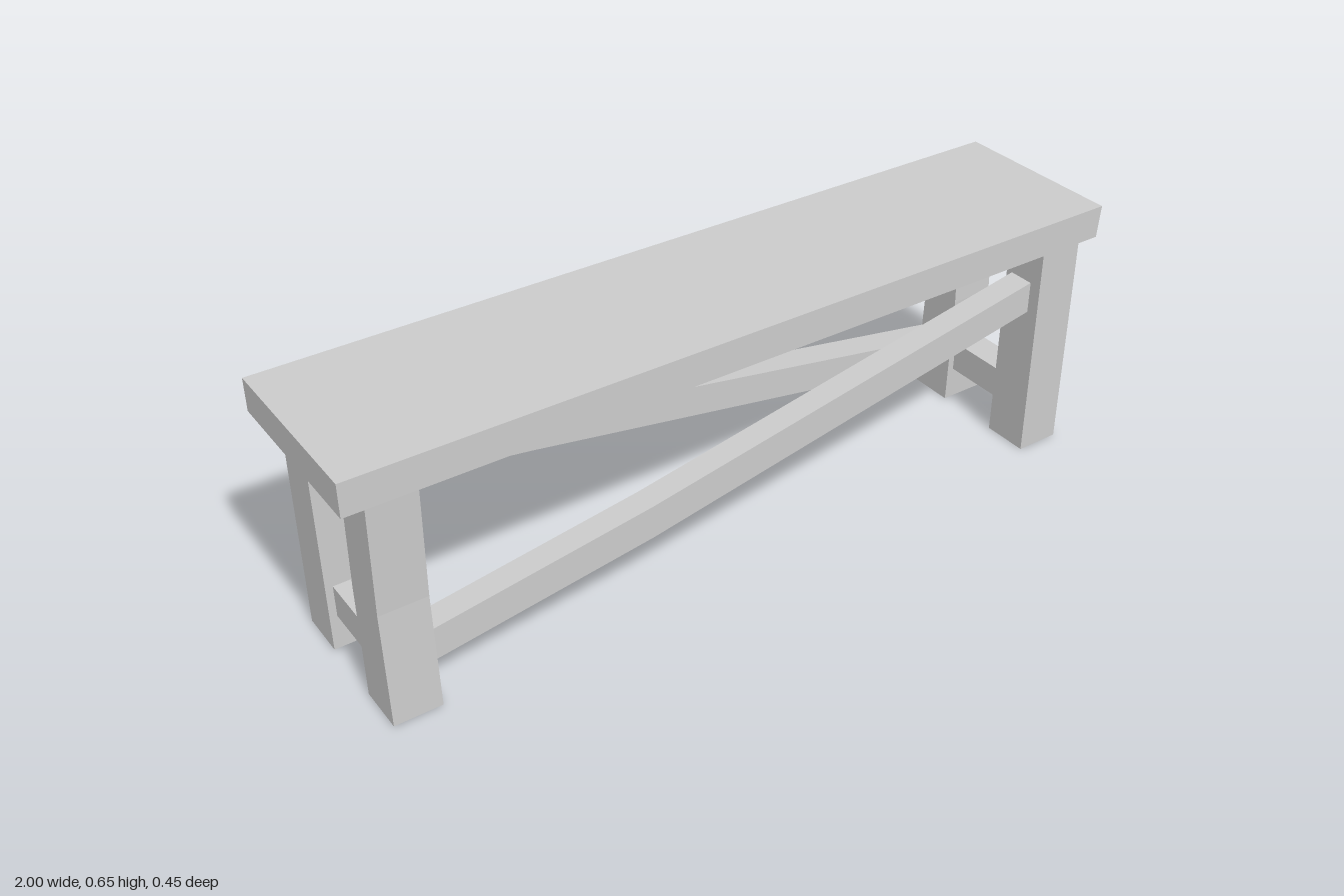
import * as THREE from 'three';

const wood = new THREE.MeshStandardMaterial({ color: 0xcccccc, flatShading: true, side: THREE.DoubleSide });

// Open four-sided beam: each ring holds four corners, counter-clockwise seen from the last ring
function beam(name, rings) {
  const pos = [];
  for (let i = 0; i < rings.length - 1; i++) {
    const a = rings[i], b = rings[i + 1];
    for (let j = 0; j < 4; j++) {
      const k = (j + 1) % 4;
      pos.push(...a[j], ...a[k], ...b[k], ...a[j], ...b[k], ...b[j]);
    }
  }
  const geo = new THREE.BufferGeometry();
  geo.setAttribute('position', new THREE.Float32BufferAttribute(pos, 3));
  geo.computeVertexNormals();
  const mesh = new THREE.Mesh(geo, wood);
  mesh.name = name;
  return mesh;
}

// Upright leg; sections are [y, zMin, zMax]
function leg(name, x, sections) {
  const h = 0.058;
  return beam(name, sections.map(([y, z0, z1]) => [
    [x - h, y, z1], [x + h, y, z1], [x + h, y, z0], [x - h, y, z0],
  ]));
}

// Long diagonal brace; sections are [x, yMin, yMax]
function brace(name, z0, z1, sections) {
  return beam(name, sections.map(([x, y0, y1]) => [
    [x, y0, z0], [x, y1, z0], [x, y1, z1], [x, y0, z1],
  ]));
}

export function createModel() {
  const bench = new THREE.Group();
  bench.name = 'bench';

  // Seat plank, one end cut slightly off square
  const seatGeo = new THREE.BoxGeometry(2, 0.081, 0.45);
  const p = seatGeo.attributes.position;
  for (let i = 0; i < p.count; i++) {
    if (p.getX(i) > 0 && p.getY(i) < 0) p.setX(i, 0.993);
  }
  const seat = new THREE.Mesh(seatGeo, wood);
  seat.name = 'seat';
  seat.position.y = 0.6145;
  bench.add(seat);

  // Legs: two straight, two bowed at mid height
  bench.add(
    leg('frontLeftLeg', 0.893, [[0, 0.091, 0.21], [0.575, 0.095, 0.21]]),
    leg('frontRightLeg', -0.887, [[0, 0.09, 0.21], [0.29, 0.085, 0.2], [0.575, 0.095, 0.21]]),
    leg('backLeftLeg', 0.893, [[0, -0.203, -0.083], [0.3, -0.189, -0.077], [0.575, -0.2, -0.086]]),
    leg('backRightLeg', -0.887, [[0, -0.203, -0.083], [0.575, -0.2, -0.086]]),
  );

  // Short stretchers joining each pair of legs
  for (const x of [-0.887, 0.893]) {
    const stretcher = new THREE.Mesh(new THREE.BoxGeometry(0.08, 0.082, 0.18), wood);
    stretcher.name = 'stretcher';
    stretcher.position.set(x, 0.129, 0.005);
    bench.add(stretcher);
  }

  // Crossing braces, each with a slight kink
  bench.add(
    brace('frontBrace', 0.112, 0.178, [[-0.832, 0.097, 0.18], [-0.27, 0.18, 0.265], [0.838, 0.394, 0.475]]),
    brace('backBrace', -0.172, -0.095, [[-0.832, 0.376, 0.456], [-0.42, 0.318, 0.4], [0.838, 0.111, 0.19]]),
  );
  return bench;
}
